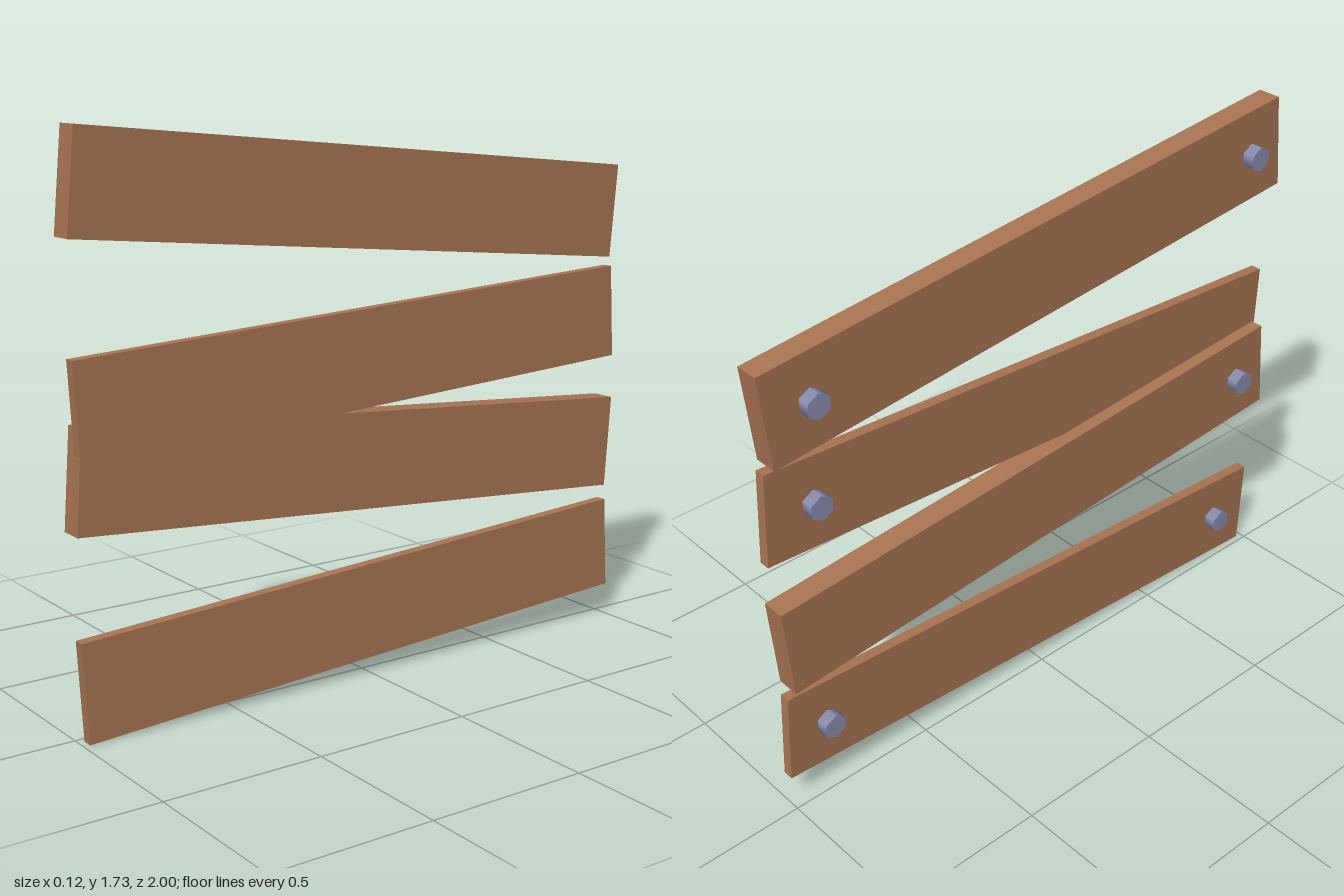
import * as THREE from 'three';

const FRONT = 0.055; // shared outer face of all planks

export function createModel() {
  const model = new THREE.Group();
  model.name = 'plankBarricade';

  const wood = new THREE.MeshStandardMaterial({ color: 0xa97553 });
  wood.name = 'brown wood';
  const metal = new THREE.MeshStandardMaterial({ color: 0x8a8fb0 });
  metal.name = 'blue grey metal';

  // Each plank: centre height, slope (positive rises to the front), thickness, bolt positions along it
  const planks = [
    { name: 'topPlank', y: 1.484, slope: 0.0945, thick: 0.077, bolts: [-0.84, 0.86] },
    { name: 'upperPlank', y: 1.004, slope: -0.055, thick: 0.035, bolts: [-0.83] },
    { name: 'lowerPlank', y: 0.686, slope: 0.0735, thick: 0.077, bolts: [0.86] },
    { name: 'bottomPlank', y: 0.207, slope: -0.0545, thick: 0.035, bolts: [-0.85, 0.84] },
  ];

  // Six-sided bolt head lying along x, one corner up
  const boltGeometry = new THREE.CylinderGeometry(0.041, 0.041, 0.05, 6, 1, false, Math.PI / 6);
  boltGeometry.rotateZ(Math.PI / 2);

  for (const { name, y, slope, thick, bolts } of planks) {
    const group = new THREE.Group();
    group.name = name;
    group.position.y = y;

    const board = new THREE.Mesh(new THREE.BoxGeometry(thick, 0.302, 1.98), wood);
    board.name = name + 'Board';
    board.position.x = FRONT - thick / 2;
    board.rotation.x = -slope;
    group.add(board);

    // Bolt heads stand out 0.04 from the back face
    for (const z of bolts) {
      const bolt = new THREE.Mesh(boltGeometry, metal);
      bolt.name = 'bolt';
      bolt.position.set(FRONT - thick - 0.015, z * Math.tan(slope), z);
      group.add(bolt);
    }
    model.add(group);
  }
  return model;
}
